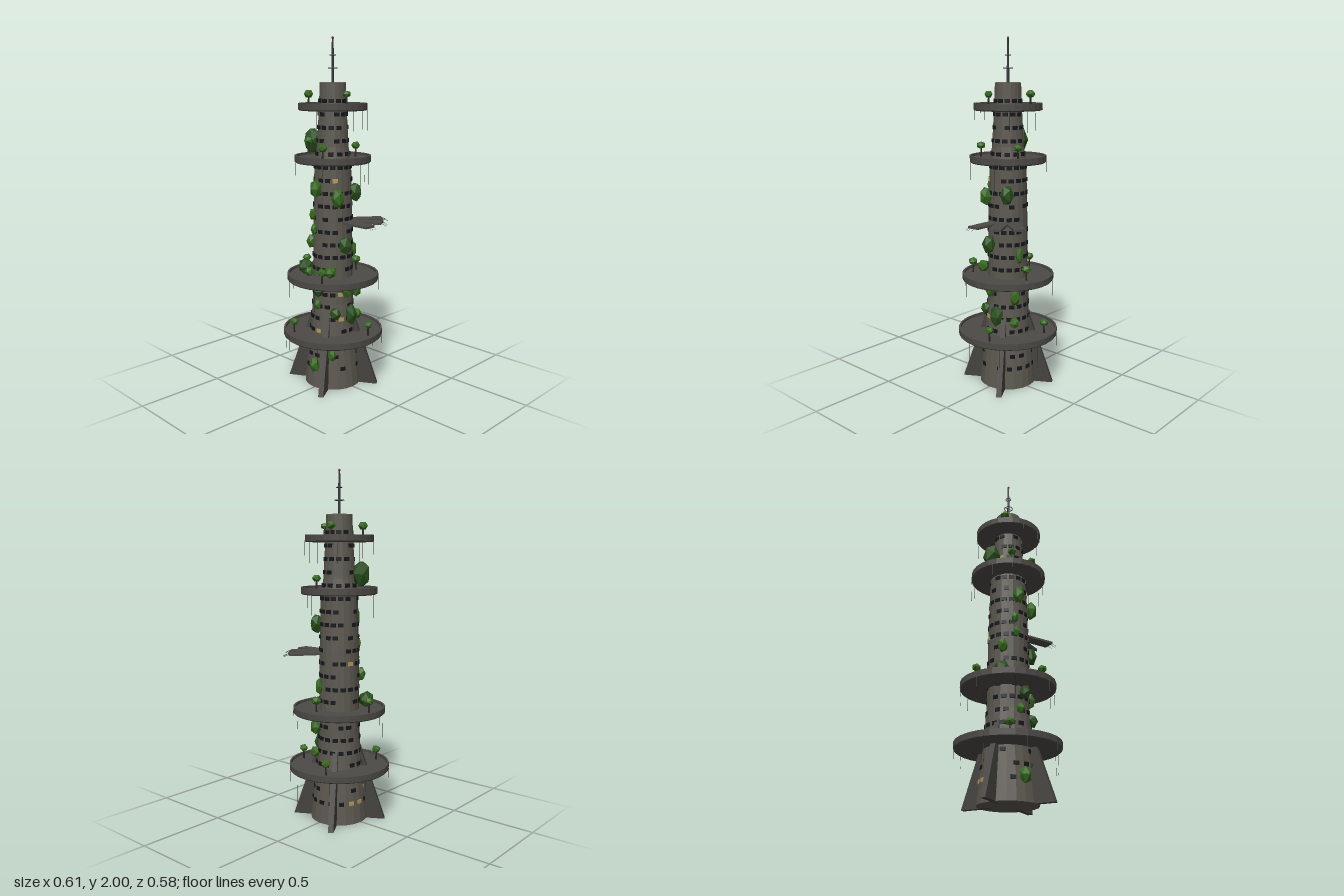
import * as THREE from 'three';
import { mergeGeometries } from 'three/addons/utils/BufferGeometryUtils.js';

const mat = (color, side = THREE.FrontSide) =>
  new THREE.MeshStandardMaterial({ color, flatShading: true, roughness: 0.9, side });

const MAT = {
  wall: mat(0x5c5850), slab: mat(0x4c4a46), fin: mat(0x45433f), metal: mat(0x33363a),
  dark: mat(0x15171b), lit: mat(0xb39a58), leaf: mat(0x356a1c), leafDark: mat(0x28501a),
  bark: mat(0x2c241a), vine: mat(0x26301c), cap: mat(0x6a665d), beacon: mat(0x8a3028),
};

// Tower outline as [radius, height]
const OUTLINE = [[0.165, 0], [0.135, 0.3], [0.118, 0.5], [0.112, 1.0], [0.105, 1.3],
  [0.09, 1.4], [0.078, 1.62], [0.073, 1.75]];

function towerRadius(y) {
  for (let i = 1; i < OUTLINE.length; i++) {
    const [r0, y0] = OUTLINE[i - 1], [r1, y1] = OUTLINE[i];
    if (y <= y1) return r0 + (r1 - r0) * (y - y0) / (y1 - y0);
  }
  return 0.073;
}

function seeded(seed) {
  return () => (seed = (seed * 16807) % 2147483647) / 2147483647;
}

export function createModel() {
  const model = new THREE.Group();
  model.name = 'overgrownTower';
  model.position.x = -0.012;
  const rand = seeded(77);

  function add(name, geometry, material, x = 0, y = 0, z = 0, parent = model) {
    const m = new THREE.Mesh(geometry, material);
    m.name = name;
    m.position.set(x, y, z);
    parent.add(m);
    return m;
  }
  const lathe = (pts, n) => new THREE.LatheGeometry(pts.map(p => new THREE.Vector2(...p)), n);

  // Tower shaft and roof
  add('shaft', lathe([[0, 0], ...OUTLINE], 20), MAT.wall);
  add('roof', new THREE.CylinderGeometry(0.073, 0.073, 0.006, 20), MAT.cap, 0, 1.75, 0);

  // Rows of windows around the shaft, a few lit
  const panes = { dark: [], lit: [] };
  for (let row = 0; row < 22; row++) {
    const y = 0.12 + row * 0.073, r = towerRadius(y);
    const count = r > 0.1 ? 16 : 12;
    for (let i = 0; i < count; i++) {
      const pick = rand();
      if (pick < 0.25) continue;
      const pane = new THREE.BoxGeometry(0.03, 0.022, 0.008);
      pane.translate(0, 0, r - 0.001);
      pane.rotateY((i + (row % 2) * 0.3) / count * Math.PI * 2);
      pane.translate(0, y, 0);
      panes[pick > 0.98 ? 'lit' : 'dark'].push(pane);
    }
  }
  add('windows', mergeGeometries(panes.dark), MAT.dark);
  if (panes.lit.length) add('litWindows', mergeGeometries(panes.lit), MAT.lit);

  // Four tapering buttresses
  const finShape = new THREE.Shape();
  finShape.moveTo(0.1, 0);
  finShape.lineTo(0.27, 0);
  finShape.lineTo(0.12, 0.44);
  finShape.lineTo(0.1, 0.44);
  const finGeo = new THREE.ExtrudeGeometry(finShape, { depth: 0.03, bevelEnabled: false });
  finGeo.translate(0, 0, -0.015);
  for (let i = 0; i < 4; i++) {
    add('buttress', finGeo, MAT.fin).rotation.y = -Math.PI / 3 - i * Math.PI / 2;
  }

  // Round terraces with a raised rim and hanging strands
  const terraces = [[0.31, 0.291], [0.645, 0.266], [1.33, 0.217], [1.62, 0.193]];
  for (const [y, R] of terraces) {
    add('terrace', lathe([[0.06, -0.02], [R - 0.006, -0.02], [R, -0.014], [R, 0.02],
      [R - 0.011, 0.02], [R - 0.011, 0.006], [0.06, 0.006]], 28), MAT.slab, 0, y, 0);
    const strands = [];
    for (let i = 0; i < 8; i++) {
      const a = (i + rand() * 0.6) * Math.PI / 4, len = 0.06 + rand() * 0.13;
      const s = new THREE.CylinderGeometry(0.0012, 0.0008, len, 4);
      s.translate(Math.cos(a) * R, y - 0.01 - len / 2, Math.sin(a) * R);
      strands.push(s);
    }
    add('hangingVines', mergeGeometries(strands), MAT.vine);
  }

  // Landing platforms with frayed bars at their ends
  for (const deg of [0, 27, 54]) {
    const pad = new THREE.Group();
    pad.name = 'landingPlatform';
    pad.rotation.y = THREE.MathUtils.degToRad(deg);
    add('deck', new THREE.BoxGeometry(0.2, 0.012, 0.07), MAT.slab, 0.191, 0.975, 0, pad);
    for (const z of [-0.02, 0.005, 0.022]) {
      const path = new THREE.CatmullRomCurve3([new THREE.Vector3(0.285, 0.975, z),
        new THREE.Vector3(0.305, 0.972, z), new THREE.Vector3(0.32, 0.962, z + 0.006)]);
      add('bar', new THREE.TubeGeometry(path, 5, 0.001, 4), MAT.metal, 0, 0, 0, pad);
    }
    model.add(pad);
  }

  // Mast with rings and a beacon
  add('mast', new THREE.CylinderGeometry(0.005, 0.008, 0.245, 8), MAT.metal, 0, 1.87, 0);
  add('beacon', new THREE.SphereGeometry(0.007, 8, 6), MAT.beacon, 0, 1.993, 0);
  for (const [y, r] of [[1.83, 0.026], [1.9, 0.016]]) {
    add('mastRing', new THREE.TorusGeometry(r, 0.002, 5, 16), MAT.metal, 0, y, 0)
      .rotation.x = Math.PI / 2;
    add('mastRingBar', new THREE.BoxGeometry(r * 2, 0.002, 0.002), MAT.metal, 0, y, 0);
  }

  // Small trees on the terraces: x, ground height, z, crown size
  const crown = new THREE.IcosahedronGeometry(1, 0);
  const trees = [
    [-0.09, 1.626, 0.1, 0.029], [0.132, 1.626, 0.025, 0.024], [-0.045, 1.626, -0.125, 0.028],
    [0.067, 1.336, 0.145, 0.027], [0.06, 1.336, -0.125, 0.026], [-0.06, 1.37, 0.13, 0.027],
    [-0.21, 0.651, 0.01, 0.027], [0.1, 0.651, 0.185, 0.028], [0.03, 0.651, -0.165, 0.03],
    [-0.12, 0.316, 0.2, 0.027], [0.227, 0.316, -0.06, 0.026], [-0.08, 0.316, -0.21, 0.027],
  ];
  for (const [x, y, z, s] of trees) {
    add('treeTrunk', new THREE.CylinderGeometry(0.004, 0.006, 0.06, 6), MAT.bark, x, y + 0.028, z);
    const c = add('treeCrown', crown, MAT.leaf, x, y + 0.065, z);
    c.scale.set(s, s * 0.85, s);
    c.rotation.y = rand() * 6;
  }

  // Foliage clumps clinging to the shaft: x, y, z, width, height
  const clumps = [
    [-0.135, 1.425, 0.03, 0.052, 0.08], [-0.01, 1.17, 0.125, 0.035, 0.058],
    [0.11, 1.12, 0.07, 0.038, 0.058], [0.1, 1.14, -0.08, 0.04, 0.06],
    [-0.035, 1.02, 0.125, 0.022, 0.035], [-0.025, 0.935, 0.125, 0.02, 0.035],
    [0.13, 0.85, 0.03, 0.04, 0.058], [-0.09, 0.85, 0.085, 0.03, 0.045],
    [0.045, 0.79, -0.125, 0.022, 0.05], [-0.115, 0.7, 0.11, 0.046, 0.05],
    [-0.05, 0.685, 0.14, 0.028, 0.03], [0.09, 0.7, 0.11, 0.034, 0.038],
    [0.02, 0.585, 0.135, 0.032, 0.042], [0.13, 0.585, 0.02, 0.032, 0.05],
    [0, 0.495, 0.12, 0.026, 0.034], [0.12, 0.43, -0.02, 0.042, 0.07],
    [0.075, 0.55, -0.12, 0.032, 0.05], [0.08, 0.4, -0.12, 0.03, 0.035],
    [0.1, 0.45, 0.08, 0.034, 0.04], [0.005, 0.135, 0.15, 0.037, 0.05],
    [0.105, 0.21, 0.115, 0.028, 0.04],
  ];
  clumps.forEach(([x, y, z, w, h], i) => {
    const c = add('foliageClump', crown, i % 3 ? MAT.leaf : MAT.leafDark, x, y, z);
    c.scale.set(w, h, w);
    c.rotation.y = rand() * 6;
  });

  return model;
}
